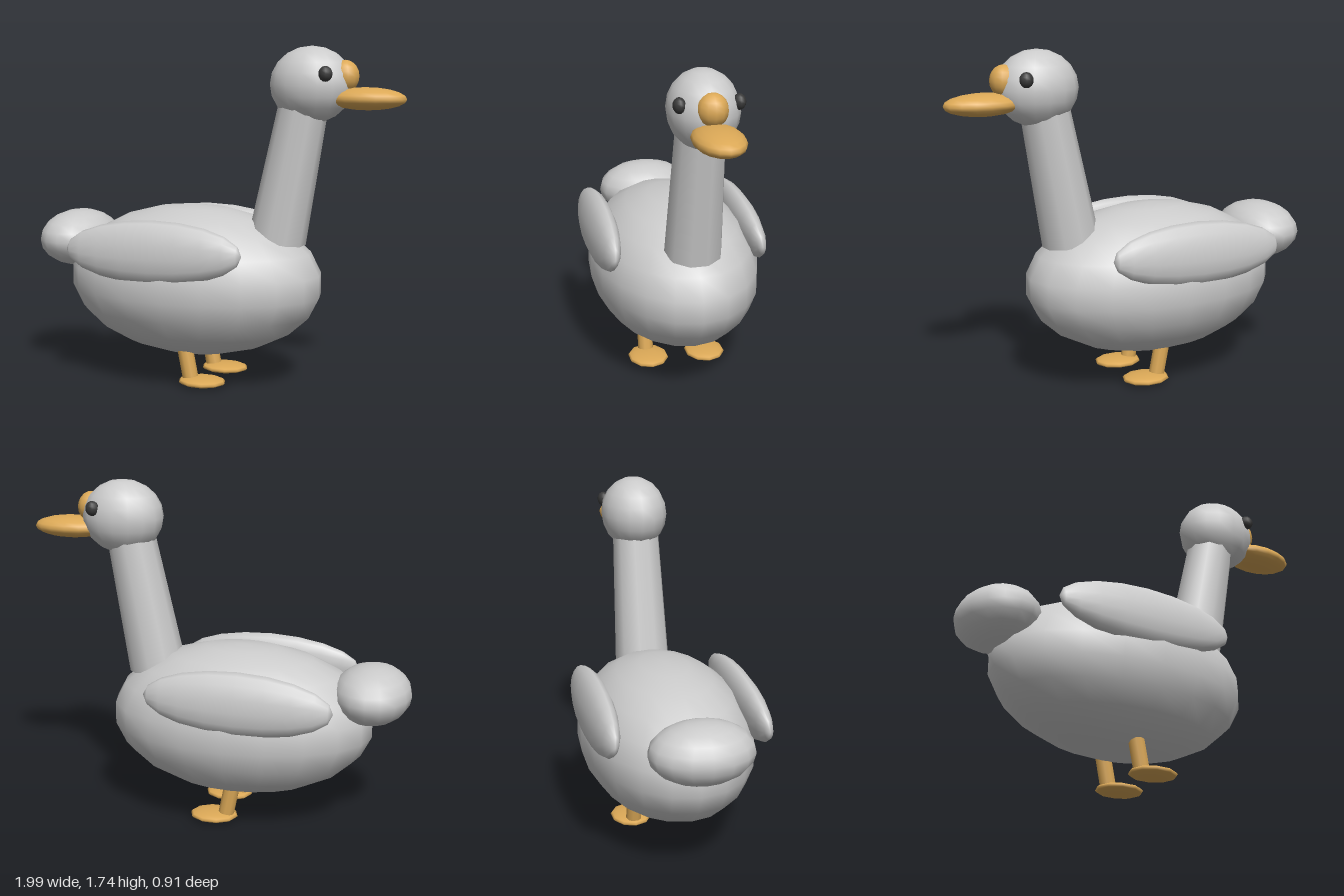
import * as THREE from 'three';

const grey = new THREE.MeshStandardMaterial({ color: 0xcbcbcb });
grey.name = 'feather grey';
const orange = new THREE.MeshStandardMaterial({ color: 0xdca957 });
orange.name = 'bill orange';
const dark = new THREE.MeshStandardMaterial({ color: 0x3a3a3a });
dark.name = 'eye dark';

export function createModel() {
  const goose = new THREE.Group();
  goose.name = 'goose';

  function add(name, geometry, material) {
    const mesh = new THREE.Mesh(geometry, material);
    mesh.name = name;
    goose.add(mesh);
    return mesh;
  }

  // Smooth ellipsoid with given centre and radii
  function blob(name, material, centre, radii, w = 16, h = 10) {
    const geometry = new THREE.SphereGeometry(1, w, h).scale(...radii);
    const mesh = add(name, geometry, material);
    mesh.position.set(...centre);
    return mesh;
  }

  // Tapered cylinder between two points
  function limb(name, material, from, to, r0, r1, sides) {
    const a = new THREE.Vector3(...from);
    const dir = new THREE.Vector3(...to).sub(a);
    const length = dir.length();
    const mesh = add(name, new THREE.CylinderGeometry(r1, r0, length, sides), material);
    mesh.position.copy(a).addScaledVector(dir, 0.5);
    mesh.quaternion.setFromUnitVectors(new THREE.Vector3(0, 1, 0), dir.normalize());
    return mesh;
  }

  // Body, tail, neck and head: the bird looks along +x
  blob('body', grey, [-0.123, 0.53, 0], [0.69, 0.392, 0.439], 20, 11);
  blob('tail', grey, [-0.8, 0.71, 0], [0.2, 0.15, 0.26], 16, 10);
  limb('neck', grey, [0.335, 0.767, 0], [0.48, 1.5, 0], 0.147, 0.122, 10);
  blob('head', grey, [0.51, 1.55, 0], [0.212, 0.19, 0.173], 16, 10);

  // Bill and the knob above it
  blob('bill', orange, [0.79, 1.485, 0], [0.202, 0.056, 0.121], 16, 10);
  blob('billKnob', orange, [0.68, 1.592, 0], [0.072, 0.08, 0.075], 12, 10);

  // Mirrored pairs
  for (const side of [1, -1]) {
    blob('eye', dark, [0.625, 1.607, side * 0.14], [0.036, 0.038, 0.031], 10, 8);

    // Wing: long flat ellipsoid with its poles at the tips, top leaning inward
    const wingShape = new THREE.SphereGeometry(1, 14, 10).rotateZ(Math.PI / 2).scale(0.48, 0.16, 0.075);
    const wing = add('wing', wingShape, grey);
    wing.position.set(-0.19, 0.722, side * 0.38);
    wing.rotation.set(-side * 0.12, 0, 0.02);

    limb('leg', orange, [-0.078, 0.03, side * 0.155], [-0.12, 0.24, side * 0.155], 0.041, 0.041, 10);
    blob('foot', orange, [-0.015, 0.026, side * 0.155], [0.126, 0.025, 0.107], 10, 8);
  }

  return goose;
}
